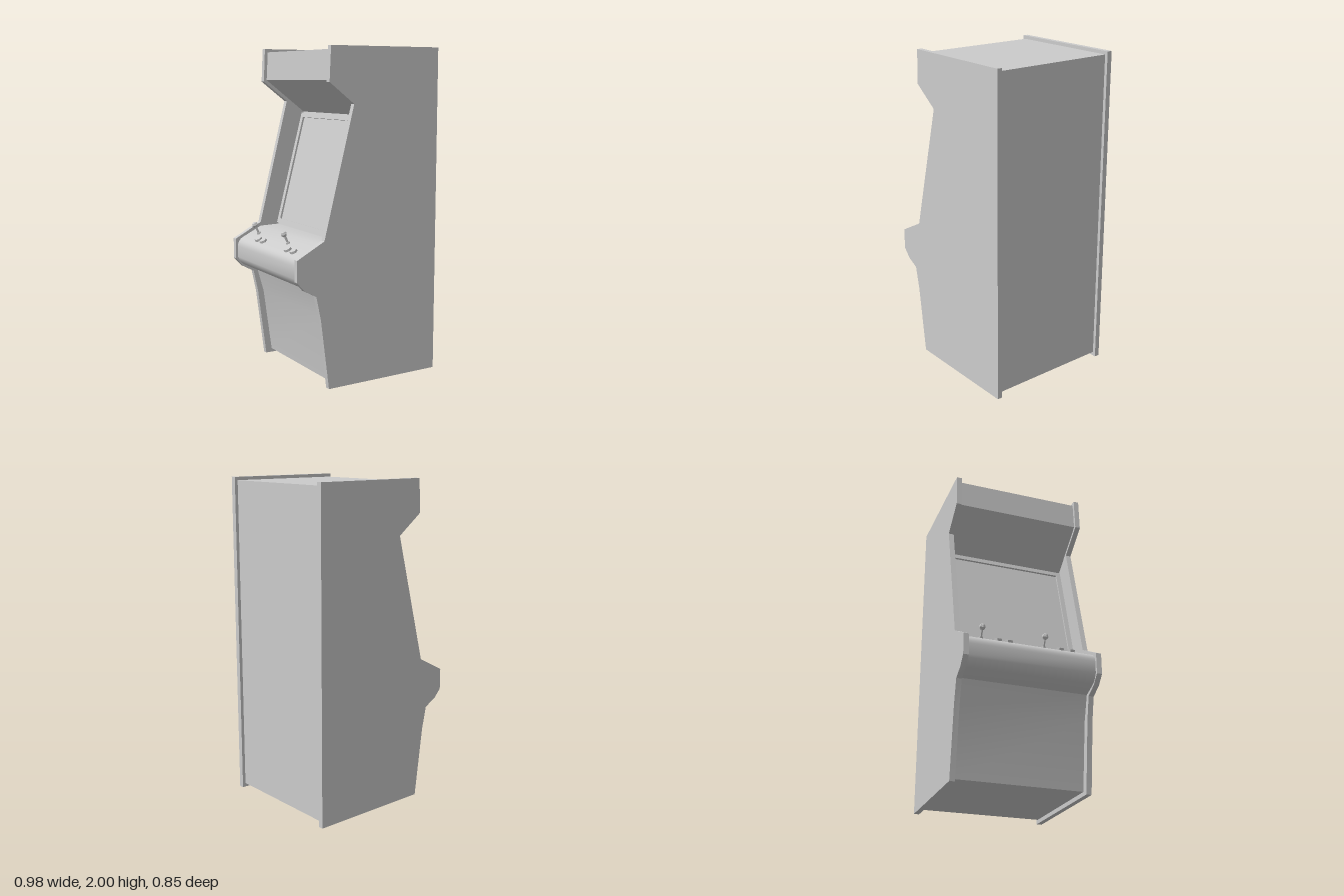
import * as THREE from 'three';
import { toCreasedNormals } from 'three/addons/utils/BufferGeometryUtils.js';

const grey = new THREE.MeshStandardMaterial({ color: 0xcccccc });
const flat = new THREE.MeshStandardMaterial({ color: 0xcccccc, flatShading: true });

function addMesh(parent, name, geometry, material = grey) {
  const mesh = new THREE.Mesh(geometry, material);
  mesh.name = name;
  parent.add(mesh);
  return mesh;
}

// Extrudes an x/y shape along z from z0 over the given width.
function slab(shape, z0, width) {
  const g = new THREE.ExtrudeGeometry(shape, { depth: width, bevelEnabled: false, curveSegments: 5 });
  g.translate(0, 0, z0);
  return toCreasedNormals(g, 0.6);
}

export function createModel() {
  const group = new THREE.Group();
  const inner = 0.39, thick = 0.0325;

  // Side panels
  const side = new THREE.Shape([
    [0.49, 0], [0.49, 2], [-0.265, 2], [-0.275, 1.795], [-0.11, 1.67], [-0.31, 0.89],
    [-0.49, 0.795], [-0.49, 0.665], [-0.44, 0.61], [-0.365, 0.57], [-0.335, 0.43], [-0.28, 0],
  ].map(([x, y]) => new THREE.Vector2(x, y)));
  addMesh(group, 'sidePanelA', slab(side, inner, thick));
  addMesh(group, 'sidePanelB', slab(side, -inner - thick, thick));

  // Cabinet body: marquee, recessed screen, rounded control deck and lower front
  const body = new THREE.Shape();
  body.moveTo(0.47, 0.025);
  body.lineTo(0.47, 1.98);
  body.lineTo(-0.245, 1.98);
  body.lineTo(-0.255, 1.805);
  body.lineTo(0.015, 1.6);
  body.lineTo(-0.18, 0.867);
  body.lineTo(-0.31, 0.865);
  body.lineTo(-0.44, 0.802);
  body.quadraticCurveTo(-0.475, 0.785, -0.475, 0.745);
  body.lineTo(-0.475, 0.675);
  body.quadraticCurveTo(-0.46, 0.63, -0.42, 0.615);
  body.lineTo(-0.34, 0.585);
  body.lineTo(-0.295, 0.43);
  body.lineTo(-0.24, 0.025);
  addMesh(group, 'cabinetBody', slab(body, -inner, inner * 2));

  // Thin bezel around the screen, leaning with it
  const w = inner, h = 0.37, rim = 0.03;
  const frame = new THREE.Shape([[-w, -h], [w, -h], [w, h], [-w, h]].map(p => new THREE.Vector2(...p)));
  frame.holes.push(new THREE.Path([[-w + rim, -h + rim], [-w + rim, h - rim], [w - rim, h - rim], [w - rim, -h + rim]]
    .map(p => new THREE.Vector2(...p))));
  const bezelGeo = new THREE.ExtrudeGeometry(frame, { depth: 0.012, bevelEnabled: false });
  bezelGeo.rotateY(-Math.PI / 2);
  bezelGeo.rotateZ(-Math.atan2(0.195, 0.733));
  const bezel = addMesh(group, 'screenBezel', bezelGeo);
  bezel.position.set(-0.083, 1.233, 0);

  // Controls stand square to the sloping deck
  const deckAngle = Math.atan(0.485);
  const deckY = x => 0.865 + (x + 0.31) * 0.485;
  function control(name, x, z) {
    const g = new THREE.Group();
    g.name = name;
    g.position.set(x, deckY(x), z);
    g.rotation.z = deckAngle;
    group.add(g);
    return g;
  }

  for (const z of [-0.285, 0.105]) {
    const stick = control('joystick', -0.375, z);
    addMesh(stick, 'joystickCollar', new THREE.CylinderGeometry(0.012, 0.014, 0.012, 6), flat).position.y = 0.004;
    addMesh(stick, 'joystickShaft', new THREE.CylinderGeometry(0.007, 0.007, 0.06, 6), flat).position.y = 0.03;
    addMesh(stick, 'joystickBall', new THREE.SphereGeometry(0.02, 6, 4), flat).position.y = 0.066;
  }
  for (const z of [-0.195, -0.13, 0.19, 0.26]) {
    const button = control('button', -0.422, z);
    addMesh(button, 'buttonCap', new THREE.CylinderGeometry(0.023, 0.025, 0.024, 6), flat).position.y = 0.002;
  }
  return group;
}
